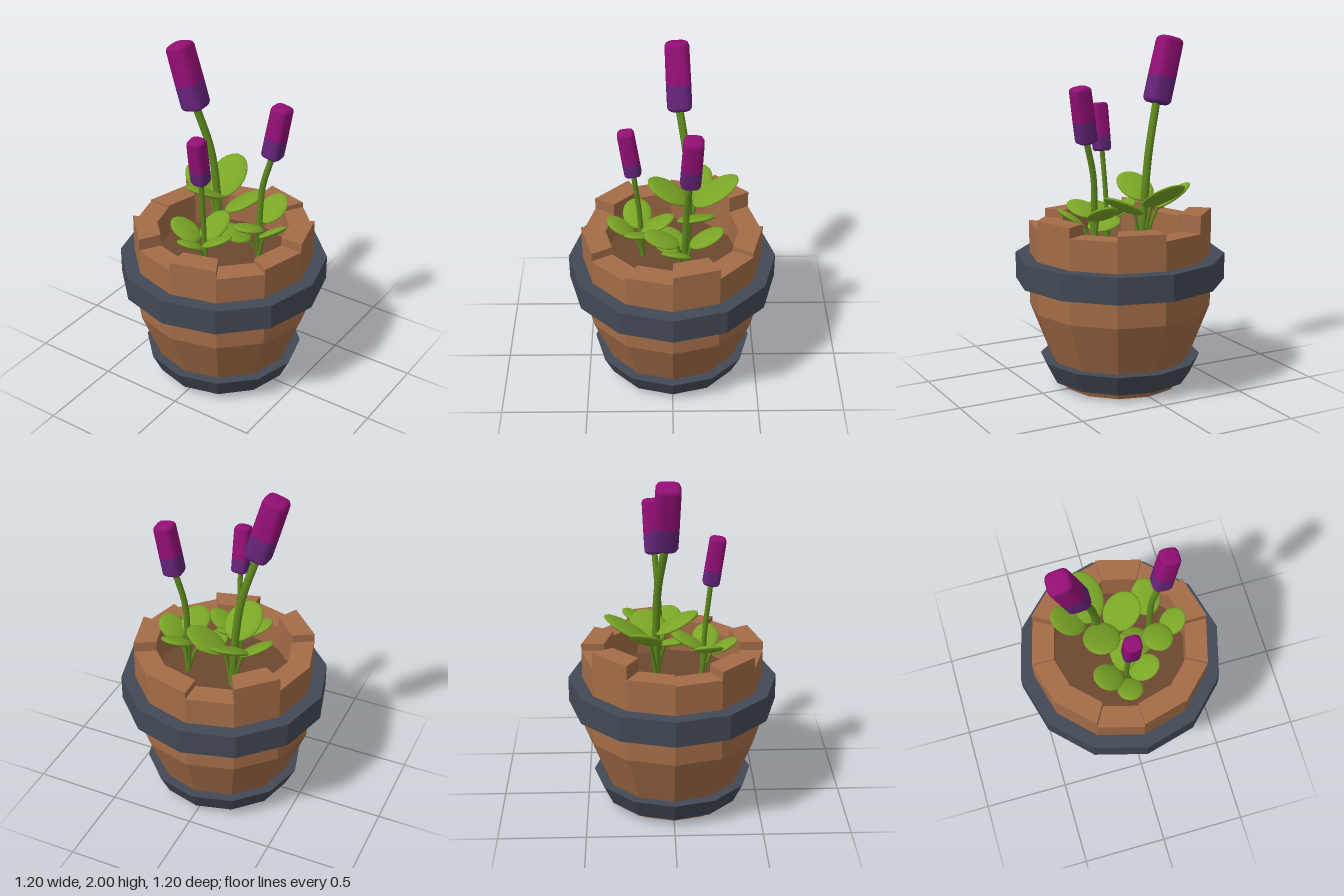
import * as THREE from 'three';
import { mergeVertices } from 'three/addons/utils/BufferGeometryUtils.js';
import { ConvexGeometry } from 'three/addons/geometries/ConvexGeometry.js';

const SIDES = 12;
const V = (x, y, z) => new THREE.Vector3(x, y, z);
const P = (x, y) => new THREE.Vector2(x, y);

function material(name, color) {
  const m = new THREE.MeshStandardMaterial({ color });
  m.name = name;
  return m;
}

function add(parent, name, geometry, mat) {
  const mesh = new THREE.Mesh(geometry, mat);
  mesh.name = name;
  parent.add(mesh);
  return mesh;
}

// Faceted twelve-sided ring from a profile of [radius, height] pairs
function facetedLathe(profile) {
  const g = new THREE.LatheGeometry(profile.map(([r, y]) => P(r, y)), SIDES).toNonIndexed();
  g.computeVertexNormals();
  return g;
}

// One wooden stave: a wedge between two neighbouring corners of the barrel
function staveGeometry(i, top) {
  const points = [];
  for (const k of [i, i + 1]) {
    const a = (k / SIDES) * Math.PI * 2;
    for (const r of [0.39, 0.52]) {
      for (const y of [0.46, top]) points.push(V(r * Math.sin(a), y, r * Math.cos(a)));
    }
  }
  return new ConvexGeometry(points);
}

// Turned shape whose round section is pushed out to a soft square
function softSquare(profile, halfWidth) {
  let g = new THREE.LatheGeometry(profile.map(([r, y]) => P(r, y)), 24);
  const p = g.attributes.position;
  for (let i = 0; i < p.count; i++) {
    const x = p.getX(i), z = p.getZ(i), r = Math.hypot(x, z);
    if (r < 1e-6) continue;
    const f = halfWidth * Math.pow((x / r) ** 4 + (z / r) ** 4, -0.25);
    p.setX(i, x * f);
    p.setZ(i, z * f);
  }
  g.deleteAttribute('uv');
  g.deleteAttribute('normal');
  g = mergeVertices(g, 1e-5);
  g.computeVertexNormals();
  return g;
}

function tube(points, radius) {
  return new THREE.TubeGeometry(new THREE.CatmullRomCurve3(points), 14, radius, 7);
}

export function createModel() {
  const wood = material('wood', 0xa36c47);
  const soil = material('soil', 0x6d472f);
  const iron = material('iron', 0x424955);
  const leafGreen = material('leaf green', 0x7aa626);
  const stemGreen = material('stem green', 0x5f8a1e);
  const magenta = material('magenta', 0x930f75);
  const violet = material('violet', 0x66247a);

  const model = new THREE.Group();
  model.name = 'pottedFlowers';

  // Barrel pot
  const pot = new THREE.Group();
  pot.name = 'barrelPot';
  model.add(pot);
  add(pot, 'taperedBase', facetedLathe([[0.25, 0.09], [0.25, 0], [0.34, 0], [0.52, 0.46]]), wood);
  add(pot, 'baseUnderside', facetedLathe([[0, 0.09], [0.25, 0.09]]), soil);
  const heights = [0.97, 0.92, 0.95, 1.0, 0.94, 0.97, 0.93, 1.03, 0.95, 0.94, 0.99, 0.92];
  heights.forEach((h, i) => add(pot, 'stave', staveGeometry(i, h), wood));
  add(pot, 'soil', facetedLathe([[0.39, 0.76], [0, 0.76]]), soil);

  // Iron hoops
  add(pot, 'upperHoop', facetedLathe(
    [[0.51, 0.615], [0.6, 0.615], [0.6, 0.765], [0.51, 0.765]]), iron);
  add(pot, 'lowerHoop', facetedLathe(
    [[0.33, 0.045], [0.405, 0.045], [0.462, 0.165], [0.38, 0.165]]), iron);

  // Flowers: curved stem and a two-coloured head along the line from bottom to top
  function flower(stem, radius, top, halfWidth, split) {
    const group = new THREE.Group();
    group.name = 'flower';
    model.add(group);
    add(group, 'stem', tube(stem, radius), stemGreen);
    const bottom = stem[stem.length - 1];
    const axis = top.clone().sub(bottom);
    const L = axis.length(), b = halfWidth * 0.35, s = L * split;
    const head = new THREE.Group();
    head.name = 'flowerHead';
    head.position.copy(bottom);
    head.quaternion.setFromUnitVectors(V(0, 1, 0), axis.normalize());
    group.add(head);
    add(head, 'lowerPetals', softSquare(
      [[0, 0], [0.7, 0], [0.9, b * 0.35], [1, b], [1, s]], halfWidth), violet);
    add(head, 'upperPetals', softSquare(
      [[1, s], [0.97, L - b], [0.87, L - b * 0.35], [0.66, L], [0, L]], halfWidth), magenta);
  }
  flower([V(-0.09, 0.76, -0.09), V(-0.105, 1.05, -0.095), V(-0.14, 1.35, -0.085), V(-0.21, 1.615, -0.045)],
    0.023, V(-0.312, 1.985, -0.028), 0.07, 0.4);
  flower([V(-0.01, 0.76, 0.17), V(-0.008, 1.05, 0.185), V(0, 1.325, 0.215)],
    0.015, V(0, 1.602, 0.256), 0.048, 0.32);
  flower([V(0.2, 0.76, -0.07), V(0.2, 1.0, -0.07), V(0.21, 1.23, -0.08), V(0.258, 1.425, -0.095)],
    0.018, V(0.308, 1.735, -0.112), 0.056, 0.4);

  // Leaves: [centre x, y, z, half width, half length, outward x, outward z, tilt, root x, root z]
  const leaves = [
    [-0.14, 1.12, -0.25, 0.112, 0.155, -0.1, -1, 0.55, -0.1, -0.09],
    [-0.11, 1.14, 0.02, 0.105, 0.135, -0.1, 1, 0.5, -0.1, -0.09],
    [0.05, 1.06, -0.135, 0.11, 0.125, 1, -0.3, 0.5, -0.08, -0.09],
    [-0.26, 1.1, -0.15, 0.09, 0.12, -1, -0.3, 0.6, -0.1, -0.09],
    [0.21, 1.04, -0.19, 0.085, 0.11, 0.1, -1, 0.5, 0.2, -0.07],
    [0.32, 1.0, -0.02, 0.085, 0.09, 1, 0.3, 0.6, 0.2, -0.07],
    [0.21, 1.03, 0.06, 0.085, 0.105, 0.1, 1, 0.35, 0.2, -0.07],
    [0.09, 0.94, 0.02, 0.095, 0.1, -1, 0.6, 0.3, 0.2, -0.07],
    [-0.12, 0.98, 0.2, 0.085, 0.1, -1, 0.1, 0.5, -0.01, 0.17],
    [0.09, 0.97, 0.195, 0.078, 0.1, 1, 0.1, 0.5, -0.01, 0.17],
    [-0.02, 0.96, 0.295, 0.075, 0.09, -0.1, 1, 0.5, -0.01, 0.17],
    [0.0, 0.99, 0.085, 0.078, 0.11, 0.1, -1, 0.5, -0.01, 0.17],
  ];
  for (const [x, y, z, w, l, dx, dz, tilt, rx, rz] of leaves) {
    const leaf = add(model, 'leaf', new THREE.SphereGeometry(1, 20, 12), leafGreen);
    leaf.scale.set(w, 0.02, l);
    leaf.position.set(x, y, z);
    leaf.rotation.set(-tilt, Math.atan2(dx, dz), 0, 'YXZ');
    // Short stalk from the soil to the inner end of the leaf
    const d = V(dx, 0, dz).normalize().multiplyScalar(-0.85 * l * Math.cos(tilt));
    const end = V(x + d.x, y - 0.85 * l * Math.sin(tilt), z + d.z);
    const mid = V((rx + end.x) / 2, 0.76 + (end.y - 0.76) * 0.6, (rz + end.z) / 2);
    add(model, 'leafStalk', tube([V(rx, 0.76, rz), mid, end], 0.01), stemGreen);
  }
  return model;
}
